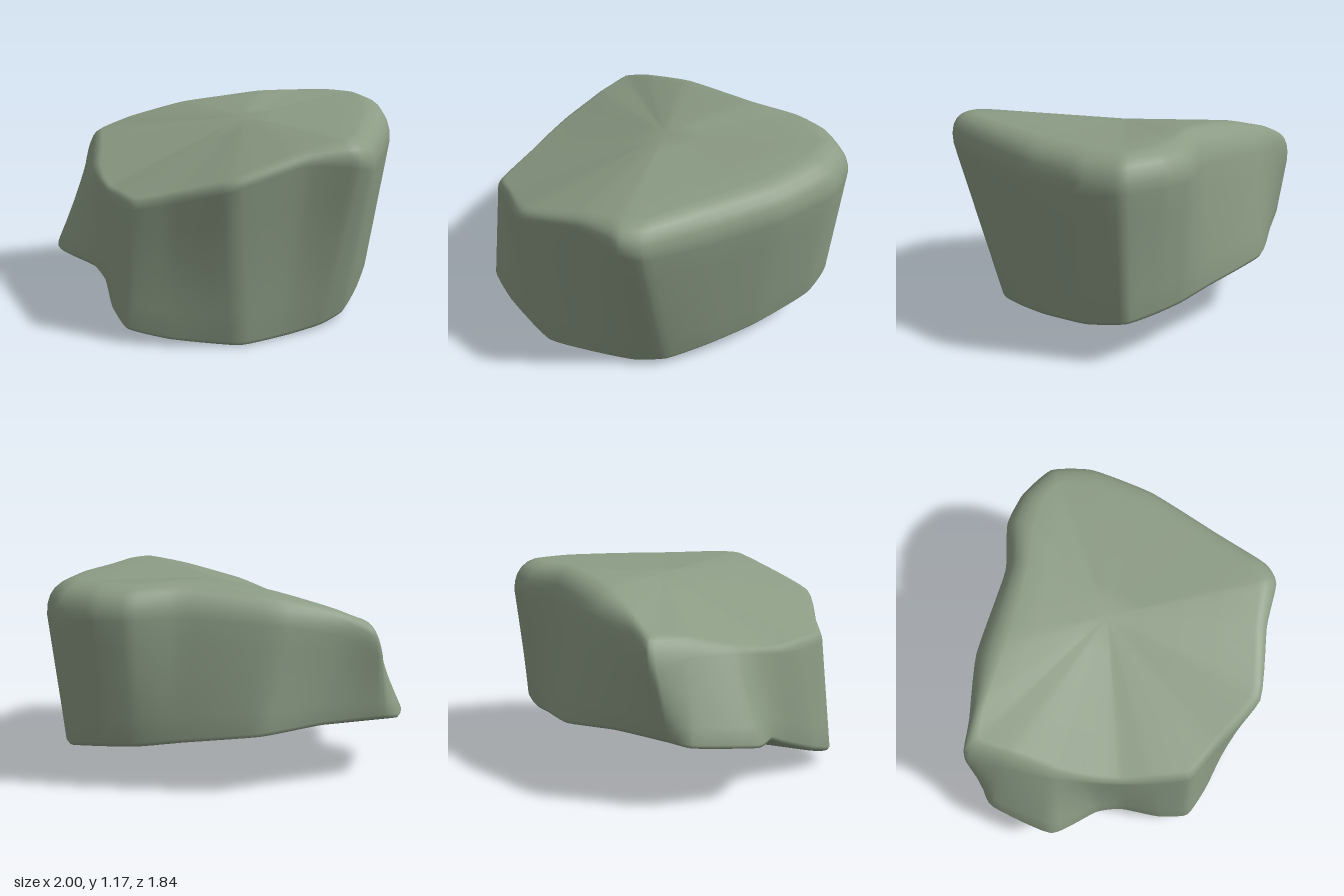
import * as THREE from 'three';
import { mergeVertices } from 'three/addons/utils/BufferGeometryUtils.js';

// Matching points around the boulder, starting on the +x side and running through +z
const foot = [
  [.88, .16, -.25], [.85, .11, .05], [.8, .07, .3], [.69, .045, .46], [.51, .03, .62],
  [.28, .03, .81], [-.1, .06, .87], [-.35, .1, .865], [-.47, .15, .72], [-.57, .23, .51],
  [-.68, .29, .4], [-.94, .33, .25], [-1, .37, -.13], [-.93, .39, -.25], [-.63, .39, -.49],
  [-.33, .36, -.72], [.12, .31, -.785], [.36, .28, -.82], [.56, .27, -.84], [.75, .26, -.83],
  [.86, .22, -.62],
];
const shoulder = [
  [1, .95, -.27], [.975, .94, .2], [.95, .96, .53], [.87, 1.0, .65], [.61, 1.02, .74],
  [.25, .91, .92], [-.1, .8, .85], [-.32, .75, .81], [-.45, .73, .65], [-.56, .74, .49],
  [-.65, .76, .34], [-.75, .79, .15], [-.85, .8, -.12], [-.92, .74, -.33], [-.72, .86, -.43],
  [-.39, .93, -.6], [.12, .97, -.74], [.36, .97, -.89], [.56, .97, -.92], [.8, .96, -.87],
  [.94, .95, -.66],
];
const brow = [
  [.83, 1.15, -.22], [.83, 1.145, .15], [.83, 1.145, .45], [.77, 1.14, .58], [.56, 1.09, .68],
  [.25, .98, .85], [-.08, .87, .81], [-.3, .81, .76], [-.42, .8, .61], [-.52, .79, .46],
  [-.6, .81, .32], [-.68, .85, .13], [-.75, .91, -.1], [-.8, .94, -.3], [-.6, 1.02, -.37],
  [-.28, 1.11, -.44], [.14, 1.165, -.58], [.38, 1.16, -.7], [.54, 1.16, -.75], [.69, 1.155, -.73],
  [.78, 1.155, -.54],
];

const COLS = 105;

// Closed loop through a list of points, with only lightly rounded corners
function ring(points) {
  const curve = new THREE.CatmullRomCurve3(
    points.map(p => new THREE.Vector3(...p)), true, 'catmullrom', .25);
  return Array.from({ length: COLS }, (_, i) => curve.getPoint(i / COLS));
}

function rockGeometry() {
  const low = ring(foot), mid = ring(shoulder), high = ring(brow);
  const base = new THREE.Vector3(.05, .13, 0), crown = new THREE.Vector3(.15, 1.11, -.05);
  // Slightly inset edge of the underside
  const sole = low.map(p => new THREE.Vector3(p.x * .95, Math.max(0, p.y - .03), p.z * .95));
  const rows = [];
  // Underside
  for (const t of [0, .35, .7]) rows.push(sole.map(p => base.clone().lerp(p, t)));
  // Rounded lower edge
  rows.push(sole);
  rows.push(sole.map((p, i) => new THREE.Vector3(low[i].x * .985, p.y + .008, low[i].z * .985)));
  // Walls
  for (let k = 0; k <= 5; k++) rows.push(low.map((p, i) => p.clone().lerp(mid[i], k / 5)));
  // Upper edge, carrying on the slope of the wall and rounding over to the top
  for (let k = 1; k <= 6; k++) {
    rows.push(mid.map((p, i) => {
      const q = high[i];
      const chord = p.clone().lerp(q, .5);
      const corner = low[i].clone().lerp(p, (q.y - low[i].y) / (p.y - low[i].y)).lerp(chord, .18);
      return new THREE.QuadraticBezierCurve3(p, corner, q).getPoint(k / 6);
    }));
  }
  // Top face
  for (const t of [.25, .5, .75, 1]) rows.push(high.map(p => p.clone().lerp(crown, t)));

  const positions = [], index = [];
  rows.forEach(row => row.forEach(p => positions.push(p.x, p.y, p.z)));
  for (let r = 0; r < rows.length - 1; r++) {
    for (let i = 0; i < COLS; i++) {
      const j = (i + 1) % COLS;
      const a = r * COLS + i, b = r * COLS + j, c = a + COLS, d = b + COLS;
      if (r > 0) index.push(a, c, b);
      if (r < rows.length - 2) index.push(b, c, d);
    }
  }
  let geometry = new THREE.BufferGeometry();
  geometry.setAttribute('position', new THREE.Float32BufferAttribute(positions, 3));
  geometry.setIndex(index);
  geometry = mergeVertices(geometry, 1e-5);
  geometry.computeVertexNormals();
  return geometry;
}

export function createModel() {
  const stone = new THREE.MeshStandardMaterial({ color: 0x8b9b84 });
  stone.name = 'mossy grey stone';
  const rock = new THREE.Mesh(rockGeometry(), stone);
  rock.name = 'boulder';
  const model = new THREE.Group();
  model.name = 'rock';
  model.add(rock);
  return model;
}
